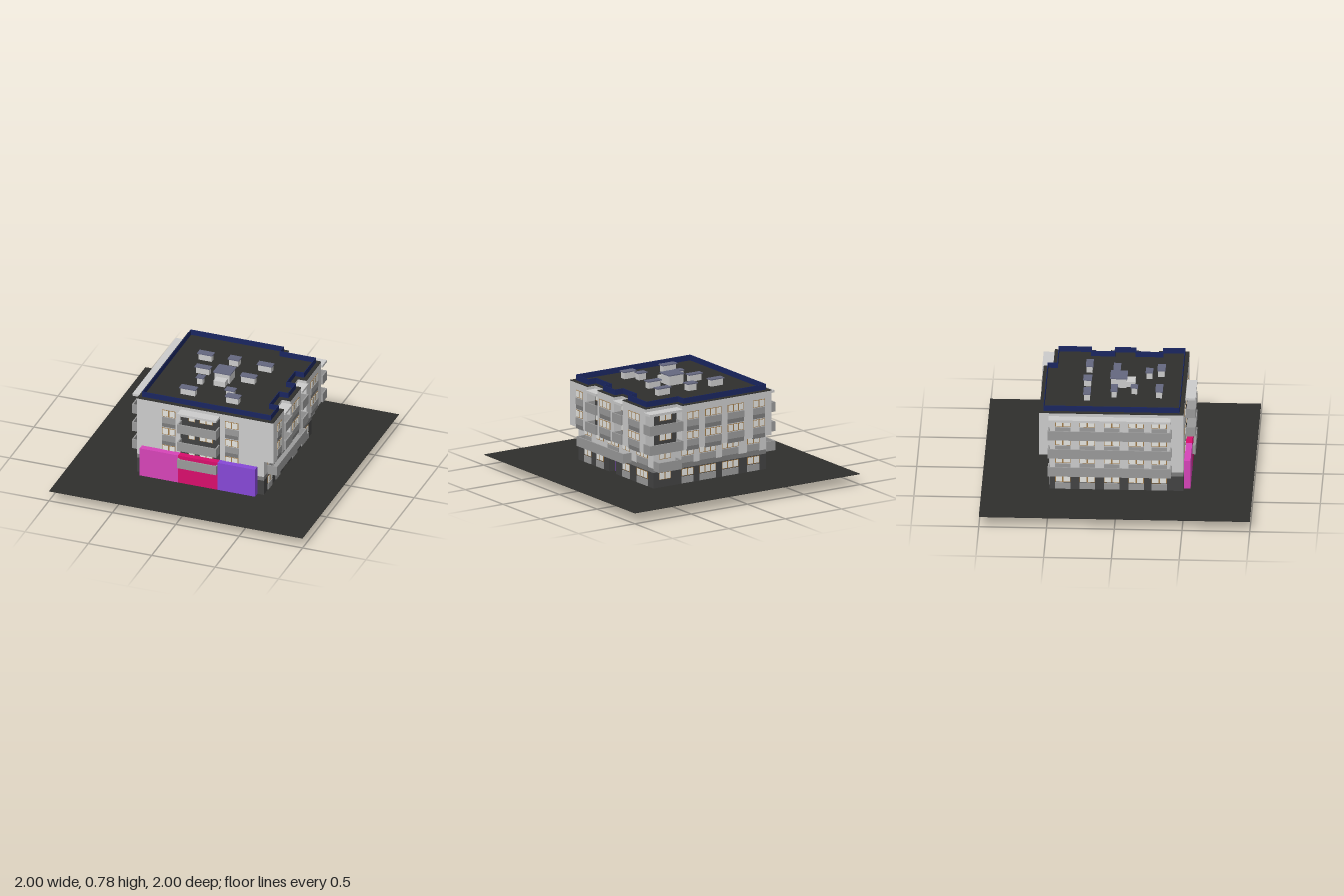
import * as THREE from 'three';

const mat = (color) => new THREE.MeshStandardMaterial({ color, flatShading: true });
const M = {
  wall: mat(0xcccccc), mid: mat(0x9a9a9a), shade: mat(0x7c7c7c), dark: mat(0x424242),
  roof: mat(0x2f2f2d), navy: mat(0x1a2660), glass: mat(0xe4e4e0), frame: mat(0xa07c4c),
  slab: mat(0xd8d8d8), cap: mat(0x656880),
  pink: mat(0xd644b8), crimson: mat(0xd80e6c), purple: mat(0x8648d6),
};

// Box given by its limits on each axis
function box(parent, name, m, x0, x1, y0, y1, z0, z1) {
  const mesh = new THREE.Mesh(new THREE.BoxGeometry(x1 - x0, y1 - y0, z1 - z0), m);
  mesh.position.set((x0 + x1) / 2, (y0 + y1) / 2, (z0 + z1) / 2);
  mesh.name = name;
  parent.add(mesh);
  return mesh;
}

// Upright prism on a plan outline of [x, z] corners, with an optional hole
function prism(parent, name, m, plan, y0, y1, hole) {
  const toPoints = (p) => p.map(([x, z]) => new THREE.Vector2(x, -z));
  const shape = new THREE.Shape(toPoints(plan));
  if (hole) shape.holes.push(new THREE.Path(toPoints(hole)));
  const geo = new THREE.ExtrudeGeometry(shape, { depth: y1 - y0, bevelEnabled: false });
  geo.rotateX(-Math.PI / 2);
  const mesh = new THREE.Mesh(geo, m);
  mesh.position.y = y0;
  mesh.name = name;
  parent.add(mesh);
}

// Outline of the upper storeys, drawn in by d on every side
const upperPlan = (d) => [
  [-0.5 + d, 0.49 - d], [0.575 - d, 0.49 - d], [0.575 - d, 0.265 + d], [0.505 - d, 0.265 + d],
  [0.505 - d, 0.13 - d], [0.575 - d, 0.13 - d], [0.575 - d, -0.09 + d], [0.505 - d, -0.09 + d],
  [0.505 - d, -0.2 - d], [0.575 - d, -0.2 - d], [0.575 - d, -0.505 + d], [0.295 - d, -0.505 + d],
  [0.295 - d, -0.575 + d], [-0.5 + d, -0.575 + d],
];

// A facade group: local x runs along the wall, local z points outwards
function facade(parent, name, angle) {
  const g = new THREE.Group();
  g.name = name;
  g.rotation.y = angle;
  parent.add(g);
  return g;
}

// Window with brown frame and light panes; y is the sill, d the wall distance
function windowUnit(f, u, y, w, panes, d) {
  const g = new THREE.Group();
  g.name = 'window';
  g.position.set(u, y, d);
  f.add(g);
  box(g, 'windowFrame', M.frame, -w / 2, w / 2, 0, 0.055, -0.01, 0.003);
  const p = w / panes;
  for (let i = 0; i < panes; i++) {
    const a = -w / 2 + i * p;
    box(g, 'windowPane', M.glass, a + 0.005, a + p - 0.005, 0.004, 0.051, 0, 0.005);
  }
}

// Window with the panels under it
function windowBay(f, u, y, w, panes, d) {
  windowUnit(f, u, y, w, panes, d);
  box(f, 'spandrelPanel', M.mid, u - w / 2, u + w / 2, y - 0.055, y - 0.005, d - 0.01, d + 0.006);
  if (y > 0.2) box(f, 'lintelPanel', M.shade, u - w / 2, u + w / 2, y - 0.088, y - 0.055, d - 0.01, d + 0.002);
}

// Balcony tray: floor and three thin parapets, from wall d out to e
function balcony(f, u0, u1, y, d, e) {
  const g = new THREE.Group(), t = 0.01, h = 0.073;
  g.name = 'balcony';
  f.add(g);
  box(g, 'balconyFloor', M.mid, u0, u1, y, y + 0.012, d, e);
  box(g, 'balconyFront', M.mid, u0, u1, y, y + h, e - t, e);
  for (const u of [u0, u1 - t]) box(g, 'balconyEnd', M.mid, u, u + t, y, y + h, d, e - t);
}

export function createModel() {
  const model = new THREE.Group();
  model.name = 'apartmentBuilding';
  const rows = [0.14, 0.295, 0.44, 0.59];
  const balconyRows = [0.217, 0.363, 0.512];

  // Ground and coloured plinth strips with upright walls
  box(model, 'ground', M.roof, -1, 1, 0.079, 0.082, -1, 1);
  const colours = [[M.pink, -0.46, -0.157], [M.crimson, -0.157, 0.155], [M.purple, 0.155, 0.45]];
  for (const [m, x0, x1] of colours) {
    box(model, 'frontStrip', m, x0, x1, 0, 0.0805, 0.24, 0.54);
    box(model, 'frontScreen', m, x0, x1, 0.08, 0.31, 0.492, 0.54);
    box(model, 'rearStrip', m, x0, x1, 0, 0.0805, -0.22, 0.08);
    box(model, 'innerScreen', m, x0, x1, 0.08, 0.2, 0, 0.08);
  }

  // Storeys: dark ground floor with entrance recess, second floor, wider upper floors
  prism(model, 'groundFloor', M.dark, [[-0.5, 0.49], [0.5, 0.49], [0.5, 0.085], [0.44, 0.085],
    [0.44, -0.005], [0.5, -0.005], [0.5, -0.5], [-0.5, -0.5]], 0.08, 0.2);
  box(model, 'floorBand', M.shade, -0.5, 0.5, 0.2, 0.232, -0.5, 0.49);
  box(model, 'secondFloor', M.wall, -0.5, 0.5, 0.232, 0.36, -0.5, 0.49);
  prism(model, 'upperFloors', M.wall, upperPlan(0), 0.36, 0.698);
  prism(model, 'roofDeck', M.roof, upperPlan(0), 0.698, 0.703);
  prism(model, 'roofParapet', M.navy, upperPlan(0.03), 0.703, 0.745, upperPlan(0.035));

  // Front: dark central bay with balconies, window columns on both sides
  const front = facade(model, 'frontFacade', 0);
  box(front, 'centralBay', M.dark, -0.155, 0.155, 0.232, 0.655, 0.48, 0.492);
  for (const y of rows) {
    for (const s of [-1, 1]) windowBay(front, s * 0.248, y, 0.105, 2, 0.49);
    windowUnit(front, -0.065, y, 0.05, 1, 0.493);
    windowUnit(front, 0.048, y, 0.105, 2, 0.493);
  }
  for (const y of balconyRows) balcony(front, -0.155, 0.153, y, 0.49, 0.565);
  box(front, 'canopy', M.slab, -0.155, 0.153, 0.657, 0.675, 0.49, 0.565);

  // Right side: projecting bays and notched balconies (along the wall u = -z)
  const right = facade(model, 'sideFacadeNotched', Math.PI / 2);
  const notches = [[-0.27, -0.13], [0.085, 0.205]];
  rows.forEach((y, i) => {
    const d = i < 2 ? 0.5 : 0.575;
    windowBay(right, -0.365, y, 0.09, 2, d);
    if (i > 0) windowBay(right, -0.03, y, 0.145, 3, d);
    windowBay(right, 0.355, y, 0.145, 3, d);
    for (const u of [-0.203, 0.142]) {
      if (i < 1) windowBay(right, u, y, 0.095, 2, 0.5);
      else windowUnit(right, u, y, 0.095, 2, i < 2 ? 0.5 : 0.509);
    }
  });
  for (const [u0, u1] of notches) {
    box(right, 'recessWall', M.dark, u0 + 0.006, u1 - 0.006, 0.362, 0.655, 0.49, 0.508);
    for (const y of balconyRows.slice(1)) balcony(right, u0, u1, y, 0.5, 0.59);
    box(right, 'canopy', M.slab, u0, u1, 0.657, 0.675, 0.5, 0.588);
  }
  balcony(right, -0.41, 0.21, balconyRows[0], 0.5, 0.575);

  // Back: window columns and a corner balcony (u = -x)
  const back = facade(model, 'backFacade', Math.PI);
  rows.forEach((y, i) => {
    const d = i < 2 ? 0.5 : 0.575;
    [[-0.2, 0.105, 2], [-0.02, 0.145, 3], [0.18, 0.145, 3], [0.385, 0.105, 2]]
      .forEach(([u, w, n]) => windowBay(back, u, y, w, n, d));
    windowUnit(back, -0.4, y, 0.105, 2, i < 2 ? 0.5 : 0.508);
  });
  box(back, 'recessWall', M.dark, -0.5, -0.3, 0.362, 0.655, 0.49, 0.507);
  balconyRows.forEach((y, i) => balcony(back, i ? -0.59 : -0.5, -0.295, y, 0.5, i ? 0.59 : 0.575));
  box(back, 'canopy', M.slab, -0.588, -0.295, 0.657, 0.675, 0.5, 0.588);

  // Left side: full-length balconies (u = z)
  const left = facade(model, 'sideFacadeBalconies', -Math.PI / 2);
  for (const y of rows) {
    for (const u of [-0.4, -0.22, -0.04, 0.14, 0.31]) windowBay(left, u, y, 0.115, 2, 0.5);
  }
  for (const y of balconyRows) balcony(left, -0.51, 0.4, y, 0.5, 0.575);
  box(left, 'canopy', M.slab, -0.505, 0.395, 0.657, 0.675, 0.5, 0.572);

  // Roof vents with caps, and the stair head: [x0, x1, z0, z1, top]
  const vents = [
    [-0.29, -0.17, -0.26, -0.205, 0.76], [-0.05, 0.04, -0.27, -0.205, 0.76],
    [0.18, 0.3, -0.26, -0.205, 0.76], [-0.235, -0.115, -0.06, -0.01, 0.76],
    [-0.065, 0.072, -0.07, 0.057, 0.784], [0.125, 0.247, -0.055, 0, 0.76],
    [-0.17, -0.11, 0.085, 0.14, 0.76], [0.095, 0.173, 0.185, 0.24, 0.76],
    [-0.23, -0.1, 0.27, 0.325, 0.76], [0.132, 0.243, 0.27, 0.33, 0.76],
  ];
  for (const [x0, x1, z0, z1, top] of vents) {
    box(model, 'roofVent', M.wall, x0 + 0.008, x1 - 0.008, 0.702, top - 0.008, z0 + 0.006, z1 - 0.006);
    box(model, 'ventCap', M.cap, x0, x1, top - 0.008, top, z0, z1);
  }
  box(model, 'stairHeadPorch', M.slab, -0.04, 0.05, 0.702, 0.745, 0.05, 0.115);
  return model;
}
